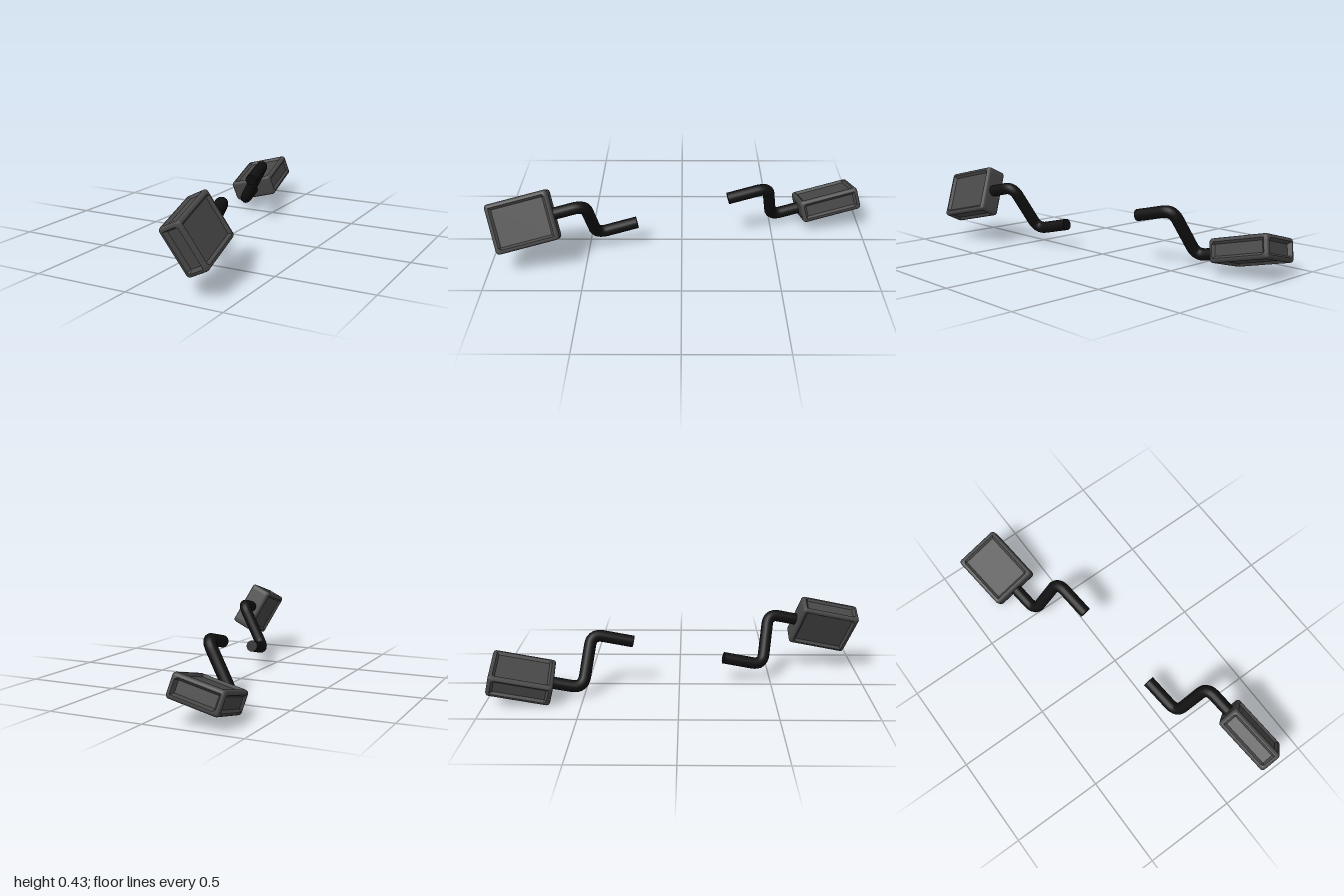
import * as THREE from 'three';
import { toCreasedNormals } from 'three/addons/utils/BufferGeometryUtils.js';

const bodyMaterial = new THREE.MeshStandardMaterial({ color: 0x484848 });
const rodMaterial = new THREE.MeshStandardMaterial({ color: 0x101010 });

// Rounded block with a sunken panel on every face except the inner end (-z)
function pedalBody(size, radius, frame, slope, depths) {
  const half = size.map((s) => s / 2);
  const stops = half.map((h) => {
    const side = [h, h - 0.586 * radius, h - radius, h - frame, h - frame - slope];
    return [...side.map((v) => -v), ...side.reverse()];
  });
  const geometry = new THREE.BoxGeometry(1, 1, 1, 9, 9, 9);
  const pos = geometry.attributes.position;
  for (let i = 0; i < pos.count; i++) {
    const step = [pos.getX(i), pos.getY(i), pos.getZ(i)].map((v) => Math.round((v + 0.5) * 9));
    const p = step.map((s, a) => stops[a][s]);
    // round the edges
    const core = p.map((v, a) => THREE.MathUtils.clamp(v, radius - half[a], half[a] - radius));
    const out = new THREE.Vector3(...p.map((v, a) => v - core[a])).setLength(radius);
    const q = out.add(new THREE.Vector3(...core)).toArray();
    // sink the panels
    for (let a = 0; a < 3; a++) {
      const onFace = step[a] === 0 || step[a] === 9;
      const inside = step.every((s, b) => b === a || (s >= 4 && s <= 5));
      const plain = a === 2 && step[a] === 0;
      if (onFace && inside && !plain) q[a] -= Math.sign(q[a]) * depths[a];
    }
    pos.setXYZ(i, ...q);
  }
  return toCreasedNormals(geometry, 0.6);
}

// Straight runs joined by rounded bends
function bentPath(points, bend) {
  const path = new THREE.CurvePath();
  let from = points[0];
  for (let i = 1; i < points.length - 1; i++) {
    const p = points[i];
    const before = p.clone().add(points[i - 1].clone().sub(p).setLength(bend));
    const after = p.clone().add(points[i + 1].clone().sub(p).setLength(bend));
    path.add(new THREE.LineCurve3(from, before));
    path.add(new THREE.QuadraticBezierCurve3(before, p, after));
    from = after;
  }
  path.add(new THREE.LineCurve3(from, points[points.length - 1]));
  return path;
}

function createPedal(name, bodyAngle) {
  const pedal = new THREE.Group();
  pedal.name = name;
  const rodRadius = 0.032, throwLength = 0.293, start = 0.253;

  // crank rod: axle stub, arm, pedal spindle
  const path = bentPath([[0, start], [0, 0.478], [throwLength, 0.478], [throwLength, 0.66]]
    .map(([y, z]) => new THREE.Vector3(0, y, z)), 0.06);
  const rod = new THREE.Mesh(new THREE.TubeGeometry(path, 48, rodRadius, 16), rodMaterial);
  rod.name = 'crankRod';
  const cap = new THREE.Mesh(new THREE.CircleGeometry(rodRadius, 16), rodMaterial);
  cap.name = 'rodEndCap';
  cap.rotation.y = Math.PI;
  cap.position.z = start;

  // foot block
  const body = new THREE.Mesh(
    pedalBody([0.262, 0.123, 0.33], 0.018, 0.02, 0.012, [0.012, 0.014, 0.022]), bodyMaterial);
  body.name = 'pedalBody';
  body.position.set(0, throwLength, 0.802);
  body.rotation.z = bodyAngle;

  pedal.add(rod, cap, body);
  return pedal;
}

export function createModel() {
  const model = new THREE.Group();
  model.name = 'pedalPair';

  // tilted frame: z along the axle, y along the crank arm
  const axle = new THREE.Vector3(0.126, -0.222, 0.967).normalize();
  const arm = new THREE.Vector3(0.509, 0.853, 0.13);
  arm.addScaledVector(axle, -arm.dot(axle)).normalize();
  const across = new THREE.Vector3().crossVectors(arm, axle);
  const crankset = new THREE.Group();
  crankset.name = 'crankset';
  crankset.quaternion.setFromRotationMatrix(new THREE.Matrix4().makeBasis(across, arm, axle));
  crankset.position.set(0.016, 0.194, -0.004);

  const front = createPedal('frontPedal', -0.59);
  const rear = createPedal('rearPedal', -0.78);
  rear.rotation.x = Math.PI;
  crankset.add(front, rear);
  model.add(crankset);
  return model;
}
